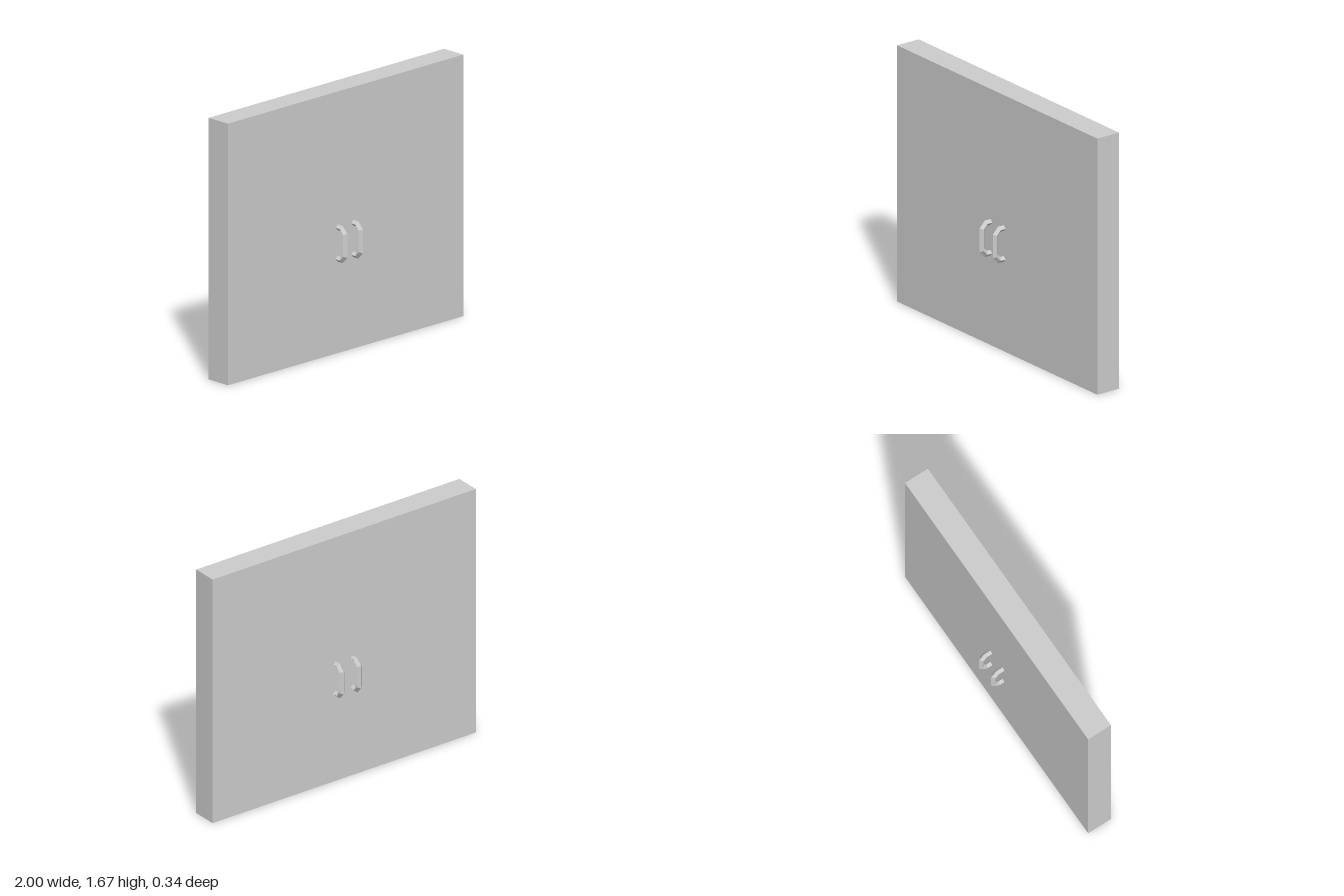
import * as THREE from 'three';

const DEPTH = 0.167, HEIGHT = 1.67;

// Square bar set on edge, swept with mitred corners along a [z, y] path
function sweptBar(path, r) {
  const normals = path.slice(1).map(([z, y], i) =>
    new THREE.Vector2(path[i][1] - y, z - path[i][0]).normalize());
  const rings = path.map(([z, y], i) => {
    const a = normals[Math.max(i - 1, 0)];
    const b = normals[Math.min(i, normals.length - 1)];
    const m = a.clone().add(b).normalize();
    m.multiplyScalar(r / m.dot(a));
    return [
      [0, y + m.y, z + m.x], [r, y, z],
      [0, y - m.y, z - m.x], [-r, y, z],
    ];
  });
  const pos = [];
  for (let i = 0; i < rings.length - 1; i++) {
    for (let k = 0; k < 4; k++) {
      const n = (k + 1) % 4;
      const a = rings[i][k], b = rings[i][n], c = rings[i + 1][n], d = rings[i + 1][k];
      pos.push(...a, ...d, ...c, ...a, ...c, ...b);
    }
  }
  const geo = new THREE.BufferGeometry();
  geo.setAttribute('position', new THREE.Float32BufferAttribute(pos, 3));
  geo.computeVertexNormals();
  return geo;
}

export function createModel() {
  const group = new THREE.Group();
  group.name = 'doublePanel';
  const grey = new THREE.MeshStandardMaterial({ name: 'lightGrey', color: 0xcccccc });

  // Slab
  const panel = new THREE.Mesh(new THREE.BoxGeometry(2, HEIGHT, DEPTH), grey);
  panel.name = 'panel';
  panel.position.y = HEIGHT / 2;
  group.add(panel);

  // A pair of pull handles on each face, open ends sunk into the slab
  const handleGeo = sweptBar([
    [0.075, 0.803], [0.119, 0.803], [0.149, 0.772],
    [0.149, 0.633], [0.119, 0.602], [0.075, 0.602],
  ], 0.0185);
  for (const face of ['front', 'back']) {
    for (const side of [-1, 1]) {
      const handle = new THREE.Mesh(handleGeo, grey);
      handle.name = face + (side > 0 ? 'Left' : 'Right') + 'Handle';
      handle.position.x = side * 0.066;
      if (face === 'back') handle.rotation.y = Math.PI;
      group.add(handle);
    }
  }
  return group;
}
